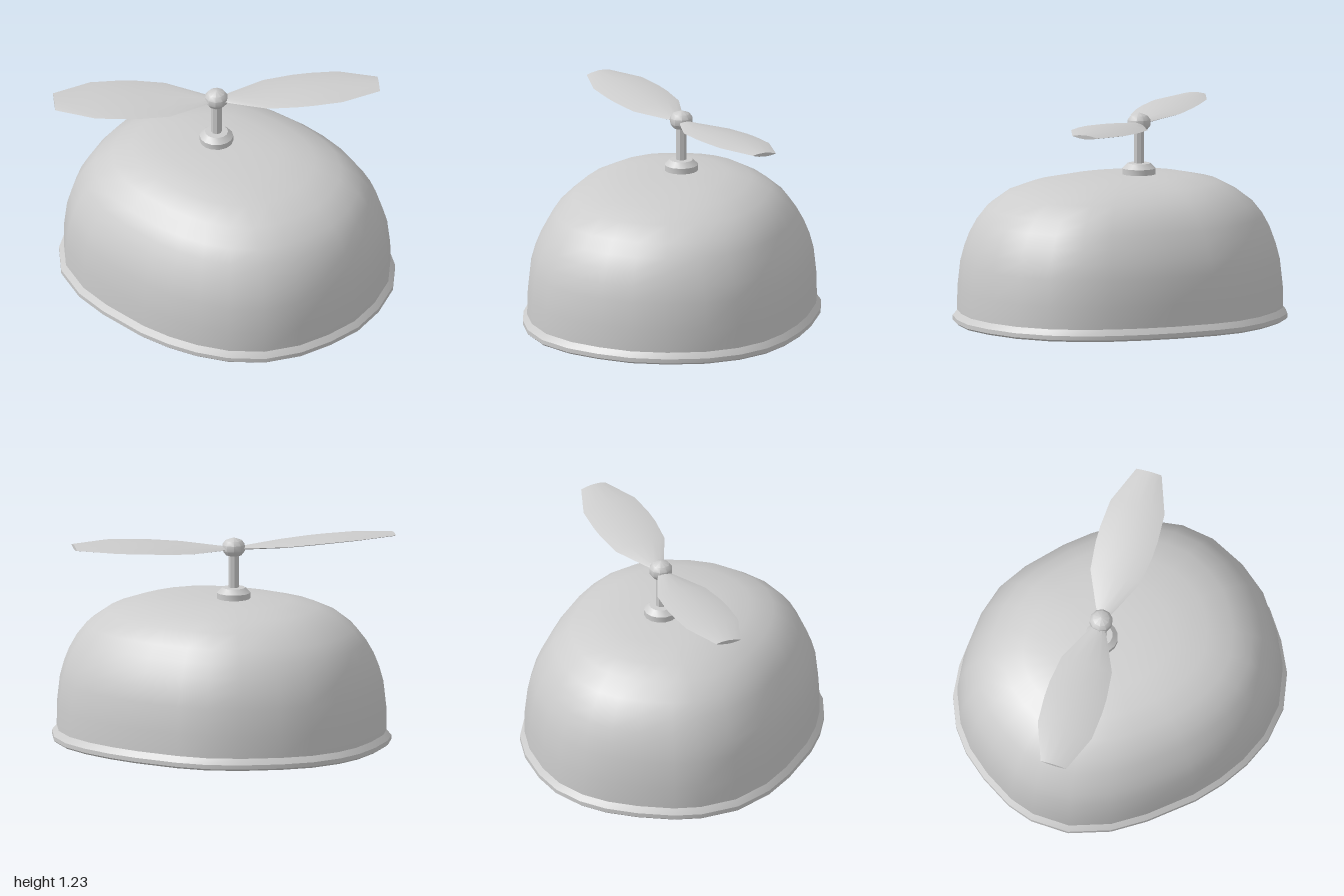
import * as THREE from 'three';
import { toCreasedNormals } from 'three/addons/utils/BufferGeometryUtils.js';

// Head outline seen from above (x, z), counter-clockwise, starting at +x
const OUTLINE = [
  [1, -0.02], [0.97, -0.24], [0.89, -0.46], [0.76, -0.63], [0.6, -0.745], [0.42, -0.81], [0.22, -0.845],
  [0.03, -0.855], [-0.25, -0.835], [-0.43, -0.79], [-0.61, -0.685], [-0.79, -0.525], [-0.91, -0.37],
  [-0.98, -0.19], [-1, -0.02], [-0.98, 0.17], [-0.925, 0.385], [-0.85, 0.53], [-0.69, 0.695],
  [-0.46, 0.8], [-0.24, 0.84], [0.07, 0.855], [0.26, 0.835], [0.44, 0.79], [0.62, 0.71],
  [0.79, 0.575], [0.91, 0.385], [0.97, 0.19],
];

// Skin a list of rings of points, optionally closing either end
function loft(rings, capStart, capEnd, crease = 0.6) {
  const n = rings[0].length;
  const points = rings.flat();
  const index = [];
  for (let i = 0; i < rings.length - 1; i++) {
    for (let j = 0; j < n; j++) {
      const a = i * n + j, b = i * n + (j + 1) % n;
      index.push(a, b, b + n, a, b + n, a + n);
    }
  }
  const cap = (ring, start, flip) => {
    const c = points.length;
    const mid = new THREE.Vector3();
    ring.forEach((p) => mid.addScaledVector(p, 1 / n));
    points.push(mid);
    for (let j = 0; j < n; j++) {
      const a = start + j, b = start + (j + 1) % n;
      index.push(c, flip ? b : a, flip ? a : b);
    }
  };
  if (capStart) cap(rings[0], 0, true);
  if (capEnd) cap(rings[rings.length - 1], (rings.length - 1) * n, false);
  const geo = new THREE.BufferGeometry().setFromPoints(points);
  geo.setIndex(index);
  return toCreasedNormals(geo, crease);
}

// Outline scaled and shifted at one height
const slice = ([y, sx, sz = sx, cx = 0]) =>
  OUTLINE.map(([x, z]) => new THREE.Vector3(x * sx + cx, y, z * sz));

export function createModel() {
  const group = new THREE.Group();
  const grey = new THREE.MeshStandardMaterial({ color: 0xcccccc });
  const add = (name, geo, parent = group) => {
    const mesh = new THREE.Mesh(geo, grey);
    mesh.name = name;
    parent.add(mesh);
    return mesh;
  };

  // Domed cap: height, x scale, z scale, x shift
  const dome = [
    [0.05, 0.972, 0.97], [0.2, 0.972, 0.967], [0.36, 0.955, 0.947], [0.45, 0.932, 0.918],
    [0.53, 0.903, 0.88], [0.61, 0.86, 0.83], [0.685, 0.8, 0.772], [0.765, 0.69, 0.665, -0.005],
    [0.82, 0.56, 0.52, -0.03], [0.855, 0.37, 0.35, -0.05], [0.866, 0.16, 0.15, -0.06],
  ];
  add('dome', loft(dome.map(slice), false, true));

  // Inside surface of the cap
  const inner = dome.map(([y, sx, sz, cx]) => [y - 0.015, sx * 0.98, sz * 0.98, cx]).reverse();
  add('lining', loft(inner.map(slice), true, false));

  // Rolled edge around the opening
  const edge = [[0.06, 0.95], [0, 0.957], [0, 0.987], [0.01, 0.999], [0.035, 0.999], [0.07, 0.97]];
  add('rim', loft(edge.map((r) => slice(r)), false, false, 0.4));

  // Propeller, standing slightly off centre
  const propeller = new THREE.Group();
  propeller.name = 'propeller';
  propeller.position.set(-0.107, 0, -0.026);
  group.add(propeller);
  const turned = (name, profile, sides) => {
    const lathe = new THREE.LatheGeometry(profile.map(([r, y]) => new THREE.Vector2(r, y)), sides);
    add(name, toCreasedNormals(lathe, 0.65), propeller);
  };
  turned('propellerBase', [[0, 0.855], [0.099, 0.855], [0.099, 0.9], [0.068, 0.93], [0, 0.933]], 14);
  turned('stem', [[0.032, 0.92], [0.032, 1.14]], 8);
  turned('hub', [[0, 1.125], [0.047, 1.125], [0.068, 1.152], [0.068, 1.187], [0.05, 1.212], [0, 1.23]], 10);

  // Blade sections: distance, half width, half thickness, height
  const sections = [
    [0.03, 0.03, 0.01, 1.165], [0.09, 0.062, 0.013, 1.168], [0.29, 0.155, 0.021, 1.18],
    [0.46, 0.175, 0.024, 1.192], [0.56, 0.177, 0.024, 1.198], [0.73, 0.166, 0.022, 1.206],
    [0.958, 0.078, 0.012, 1.211],
  ];
  const bladeRings = sections.map(([s, w, h, y]) =>
    Array.from({ length: 12 }, (_, i) => {
      const a = (i / 12) * Math.PI * 2;
      const side = w * Math.sin(a);
      return new THREE.Vector3(s, y + h * Math.cos(a) * Math.abs(Math.cos(a)) + 0.06 * side, side);
    }));
  const bladeGeo = loft(bladeRings, true, true, 0.25);
  ['backBlade', 'frontBlade'].forEach((name, i) => {
    add(name, bladeGeo, propeller).rotation.y = 0.806 + i * Math.PI;
  });

  return group;
}
